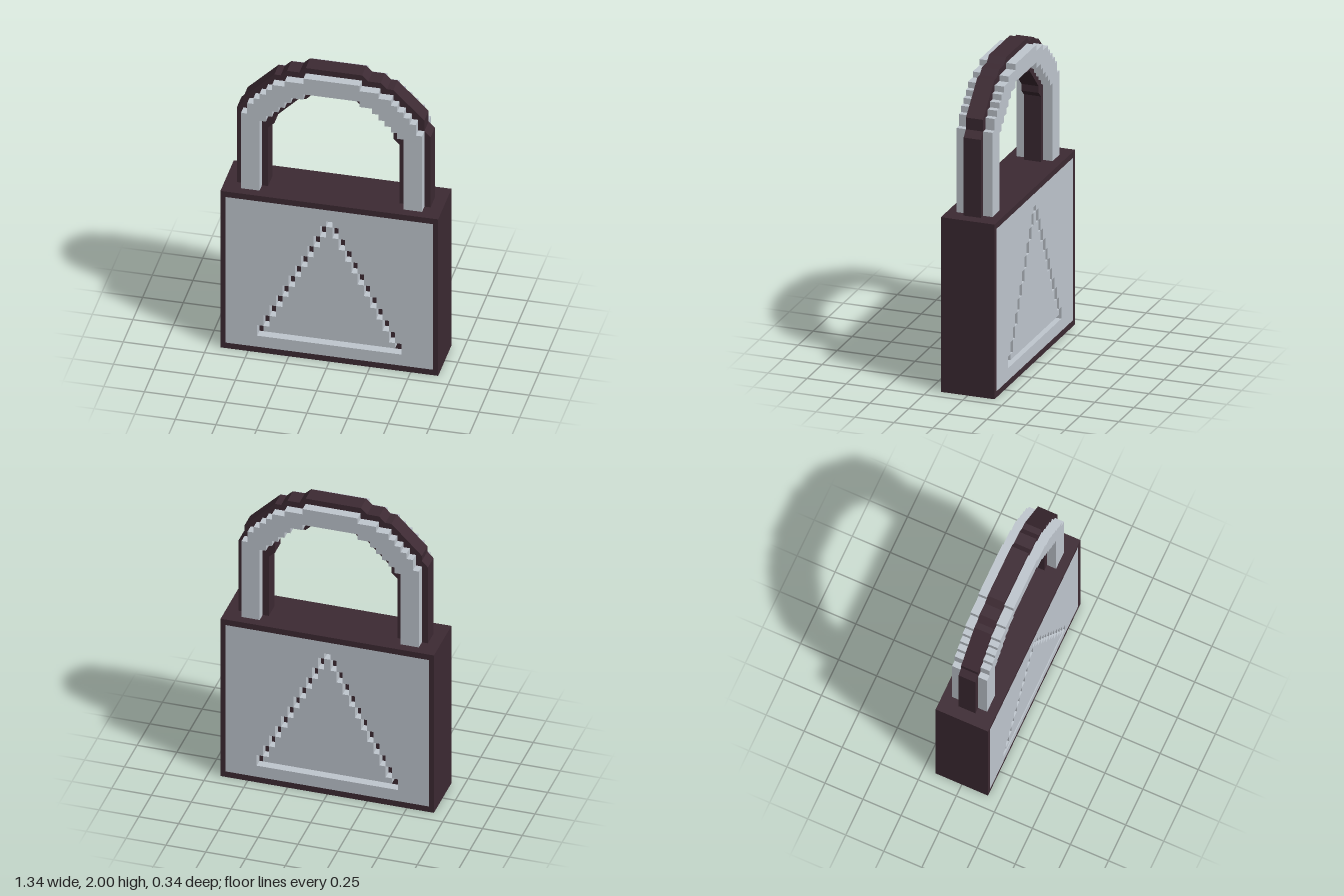
import * as THREE from 'three';

const dark = new THREE.MeshStandardMaterial({ color: 0x3d2a33 });
const steel = new THREE.MeshStandardMaterial({ color: 0xc0c7cf });

const BODY_Z = 0.172, FACE_Z = 0.115, CORE_Z = 0.055;

const toPoints = (list) => list.map(([x, y]) => new THREE.Vector2(x, y));
const mirrorX = (list) => list.map(([x, y]) => [-x, y]).reverse();
const rect = (w, y0, y1) => [[-w, y0], [w, y0], [w, y1], [-w, y1]];

// Flat plate with optional hole, spanning z0..z1
function plate(name, material, outline, z0, z1, hole) {
  const shape = new THREE.Shape(toPoints(outline));
  if (hole) shape.holes.push(new THREE.Path(toPoints(hole)));
  const geometry = new THREE.ExtrudeGeometry(shape, { depth: z1 - z0, bevelEnabled: false });
  geometry.translate(0, 0, z0);
  const mesh = new THREE.Mesh(geometry, material);
  mesh.name = name;
  return mesh;
}

// Staircase through [x, y] entries: level y holds until x, then drops
function stairs(steps, endY) {
  const points = [];
  steps.forEach(([x, y], i) => {
    points.push([x, y], [x, i + 1 < steps.length ? steps[i + 1][1] : endY]);
  });
  return points;
}

export function createModel() {
  const group = new THREE.Group();
  group.name = 'padlock';

  // Body: rim around a recessed core
  const opening = rect(0.638, 0.039, 1.081);
  group.add(plate('bodyRim', dark, rect(0.67, 0, 1.12), -BODY_Z, BODY_Z, opening));
  group.add(plate('bodyCore', dark, opening, -FACE_Z, FACE_Z));

  // Stepped triangular groove, left open between two panel pieces
  const dx = 0.0386, dy = 0.0768, x0 = 0.0193, y0 = 0.962, count = 11;
  const outer = [[x0, 1.0]], inner = [];
  for (let k = 0; k < count; k++) {
    const top = y0 - k * dy, bottom = k === count - 1 ? 0.118 : top - dy;
    outer.push([x0 + k * dx, top], [x0 + (k + 1) * dx, top]);
    inner.push([x0 + k * dx, top], [x0 + k * dx, k === count - 1 ? 0.156 : bottom]);
    if (k === count - 1) outer.push([x0 + count * dx, bottom]);
  }
  const grooveOuter = [...outer, ...mirrorX(outer)];
  const grooveInner = [...inner, ...mirrorX(inner)];
  for (const [side, a, b] of [['front', FACE_Z, BODY_Z], ['back', -BODY_Z, -FACE_Z]]) {
    group.add(plate(side + 'Panel', steel, opening, a, b, grooveOuter));
    group.add(plate(side + 'Triangle', steel, grooveInner, a, b));
  }

  // Shackle core with chamfered corners
  const coreOutline = [
    [-0.595, 1.12], [-0.595, 1.66], [-0.557, 1.7], [-0.557, 1.735], [-0.366, 1.925],
    [-0.327, 1.925], [-0.288, 1.963], [-0.212, 1.963], [-0.173, 2],
    [0.173, 2], [0.212, 1.963], [0.288, 1.963], [0.327, 1.925], [0.366, 1.925],
    [0.557, 1.735], [0.557, 1.66], [0.595, 1.62], [0.595, 1.12],
    [0.405, 1.12], [0.405, 1.54], [0.366, 1.577], [0.366, 1.66], [0.25, 1.777],
    [0.173, 1.777], [0.137, 1.813], [-0.137, 1.813], [-0.173, 1.777], [-0.212, 1.777],
    [-0.366, 1.62], [-0.366, 1.577], [-0.405, 1.54], [-0.405, 1.12],
  ];
  group.add(plate('shackleCore', dark, coreOutline, -CORE_Z, CORE_Z));

  // Stepped steel bands on both faces of the shackle
  const bandOuter = stairs([[0.173, 1.963], [0.288, 1.925], [0.366, 1.888], [0.404, 1.85],
    [0.443, 1.812], [0.481, 1.775], [0.519, 1.735], [0.557, 1.66]], 1.12);
  const bandInner = stairs([[0.173, 1.85], [0.25, 1.812], [0.288, 1.775], [0.327, 1.735],
    [0.366, 1.698], [0.404, 1.66], [0.443, 1.62]], 1.12);
  const band = [...mirrorX(bandOuter), ...bandOuter, ...bandInner.slice().reverse(),
    ...mirrorX(bandInner).reverse()];
  group.add(plate('shackleFrontBand', steel, band, CORE_Z, FACE_Z));
  group.add(plate('shackleBackBand', steel, band, -FACE_Z, -CORE_Z));

  return group;
}
